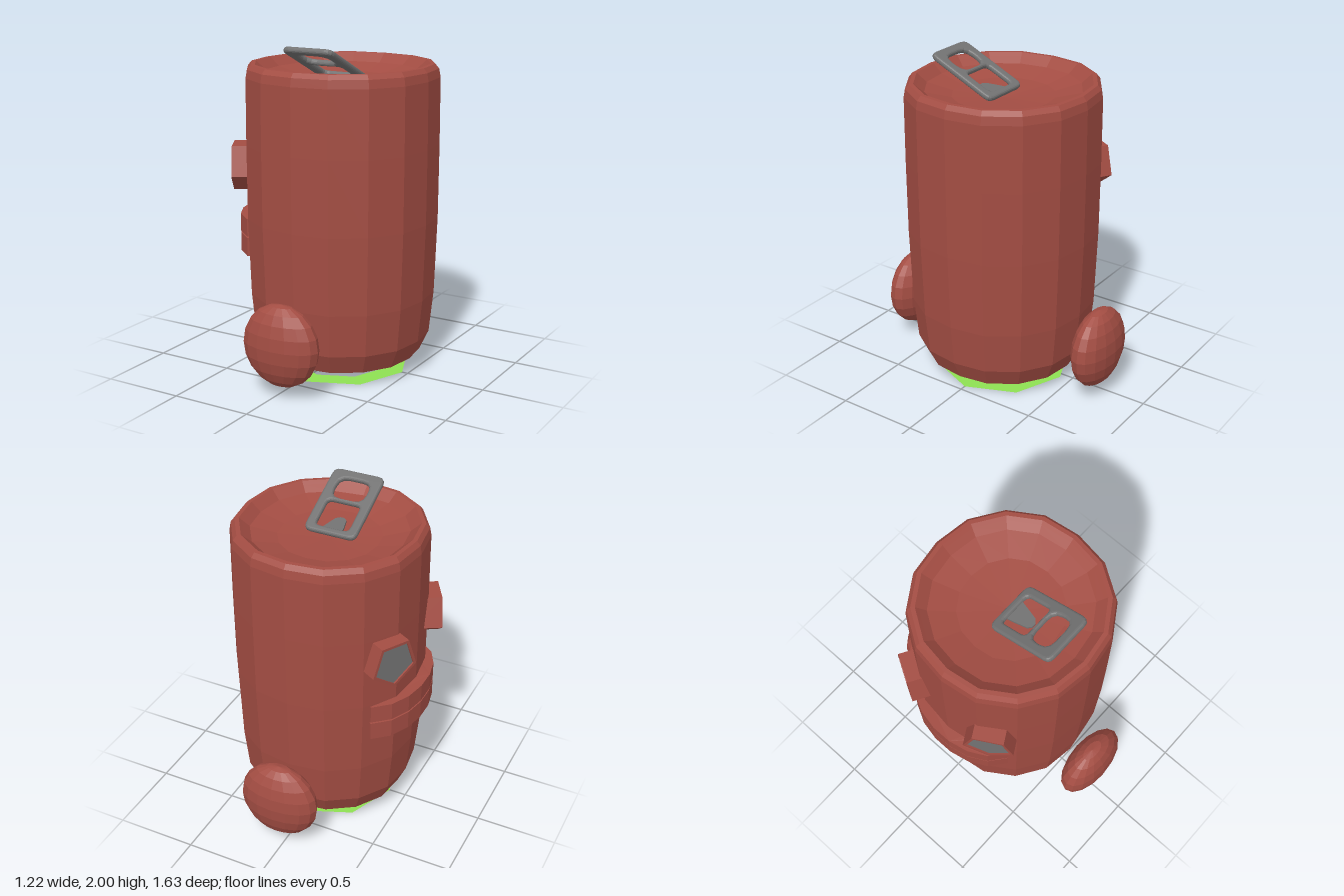
import * as THREE from 'three';

const CX = 0.035; // body axis
const mat = (name, color, extra = {}) =>
  Object.assign(new THREE.MeshStandardMaterial({ color, flatShading: true, ...extra }), { name });

function mesh(name, geometry, material, parent) {
  const m = new THREE.Mesh(geometry, material);
  m.name = name;
  parent.add(m);
  return m;
}

const vecs = list => list.map(([x, y]) => new THREE.Vector2(x, y));

// pentagon with its tip down
const pentagon = r => Array.from({ length: 5 }, (_, i) => {
  const a = -Math.PI / 2 + i * Math.PI * 2 / 5;
  return new THREE.Vector2(r * Math.cos(a), r * Math.sin(a));
});

// rectangle with rounded corners
function roundedRect(path, x0, y0, x1, y1, r) {
  path.moveTo(x0 + r, y0);
  path.lineTo(x1 - r, y0);
  path.quadraticCurveTo(x1, y0, x1, y0 + r);
  path.lineTo(x1, y1 - r);
  path.quadraticCurveTo(x1, y1, x1 - r, y1);
  path.lineTo(x0 + r, y1);
  path.quadraticCurveTo(x0, y1, x0, y1 - r);
  path.lineTo(x0, y0 + r);
  path.quadraticCurveTo(x0, y0, x0 + r, y0);
  return path;
}

// lathed can, slightly fuller on its diagonals
function bodyGeometry(profile) {
  const g = new THREE.LatheGeometry(vecs(profile), 16);
  const p = g.attributes.position;
  for (let i = 0; i < p.count; i++) {
    const x = p.getX(i), z = p.getZ(i);
    const k = 1 + 0.024 * Math.sqrt(Math.abs(Math.sin(2 * Math.atan2(z, x))));
    p.setX(i, x * k);
    p.setZ(i, z * k);
  }
  g.computeVertexNormals();
  return g;
}

// crescent block hugging the body, thinning and drooping toward its ends
function lipGeometry(y0, y1) {
  const half = 40 * Math.PI / 180;
  const arc = radius => Array.from({ length: 8 }, (_, i) => {
    const t = -1 + 2 * i / 7, a = Math.PI + half * t, r = radius(t);
    return new THREE.Vector2(r * Math.cos(a), r * Math.sin(a));
  });
  const shape = new THREE.Shape([...arc(t => 0.638 - 0.053 * t ** 4), ...arc(() => 0.5).reverse()]);
  const g = new THREE.ExtrudeGeometry(shape, { depth: y1 - y0, bevelEnabled: false });
  g.rotateX(-Math.PI / 2).translate(0, y0, 0);
  const p = g.attributes.position;
  for (let i = 0; i < p.count; i++) {
    const t = Math.atan2(p.getZ(i), -p.getX(i)) / half;
    p.setY(i, p.getY(i) - 0.014 * t * t);
  }
  g.computeVertexNormals();
  return g;
}

export function createModel() {
  const model = new THREE.Group();
  model.name = 'canCreature';
  const red = mat('brickRed', 0xa34d43);
  const grey = mat('metalGrey', 0x727272);
  const green = mat('leafGreen', 0x8ee052, { side: THREE.DoubleSide });

  const can = new THREE.Group();
  can.name = 'can';
  can.position.x = CX;
  model.add(can);

  // body with hollow base and dished lid
  mesh('body', bodyGeometry([
    [0, 0.175], [0.2, 0.168], [0.36, 0.14], [0.42, 0.106], [0.445, 0.1], [0.475, 0.1], [0.53, 0.22],
    [0.556, 0.48], [0.571, 0.95], [0.573, 1.4], [0.571, 1.8], [0.562, 1.85], [0.54, 1.877],
    [0.515, 1.878], [0.495, 1.86], [0.455, 1.825], [0.3, 1.785], [0, 1.765],
  ]), red, can);

  // flat octagonal ring under the base
  const ring = mesh('baseRing', new THREE.RingGeometry(0.3, 0.427, 8, 1), green, can);
  ring.rotation.x = -Math.PI / 2;

  // flattened round feet on both sides
  for (const side of [1, -1]) {
    const foot = mesh(side > 0 ? 'frontFoot' : 'backFoot', new THREE.SphereGeometry(0.25, 16, 10), red, can);
    foot.scale.z = 0.49;
    foot.position.set(0, 0.317, side * 0.692);
  }

  // pentagonal eyes with slightly recessed grey pupils
  for (const side of [1, -1]) {
    const eye = new THREE.Group();
    eye.name = side > 0 ? 'leftEye' : 'rightEye';
    eye.position.y = 1.258;
    eye.rotation.y = -Math.PI / 2 + side * Math.PI / 6;
    const shape = new THREE.Shape(pentagon(0.158));
    shape.holes.push(new THREE.Path(pentagon(0.138)));
    const frame = new THREE.ExtrudeGeometry(shape, { depth: 0.18, bevelEnabled: false });
    mesh('eyeFrame', frame.translate(0, 0, 0.48), red, eye);
    mesh('pupil', new THREE.ShapeGeometry(new THREE.Shape(pentagon(0.141))).translate(0, 0, 0.65), grey, eye);
    can.add(eye);
  }

  // mouth
  mesh('upperLip', lipGeometry(0.842, 0.952), red, can);
  mesh('lowerLip', lipGeometry(0.718, 0.832), red, can);

  // pull tab, tilted up toward the front
  const tab = new THREE.Group();
  tab.name = 'pullTab';
  tab.position.set(0, 1.89, 0.195);
  tab.rotation.x = -25 * Math.PI / 180;
  can.add(tab);
  const plate = roundedRect(new THREE.Shape(), -0.165, -0.235, 0.165, 0.235, 0.045);
  plate.holes.push(roundedRect(new THREE.Path(), -0.106, 0.0, 0.106, 0.19, 0.03));
  plate.holes.push(roundedRect(new THREE.Path(), -0.103, -0.173, 0.103, -0.024, 0.06));
  const tabGeo = new THREE.ExtrudeGeometry(plate, {
    depth: 0.006, bevelThickness: 0.015, bevelSize: 0.015, bevelOffset: -0.015,
    bevelSegments: 3, curveSegments: 3,
  });
  mesh('tabPlate', tabGeo.translate(0, 0, -0.003).rotateX(-Math.PI / 2), grey, tab);

  // tongue bent down from the tab to the lid
  const tongueShape = new THREE.Shape(vecs([
    [-0.07, 0], [-0.055, -0.07], [-0.035, -0.145], [-0.012, -0.165],
    [0.012, -0.165], [0.035, -0.145], [0.055, -0.07], [0.07, 0],
  ]));
  const tongue = mesh('tabTongue', new THREE.ExtrudeGeometry(tongueShape, { depth: 0.014, bevelEnabled: false })
    .rotateX(-Math.PI / 2), grey, can);
  tongue.position.set(0, 1.79, 0);
  tongue.rotation.x = -4 * Math.PI / 180;

  return model;
}
